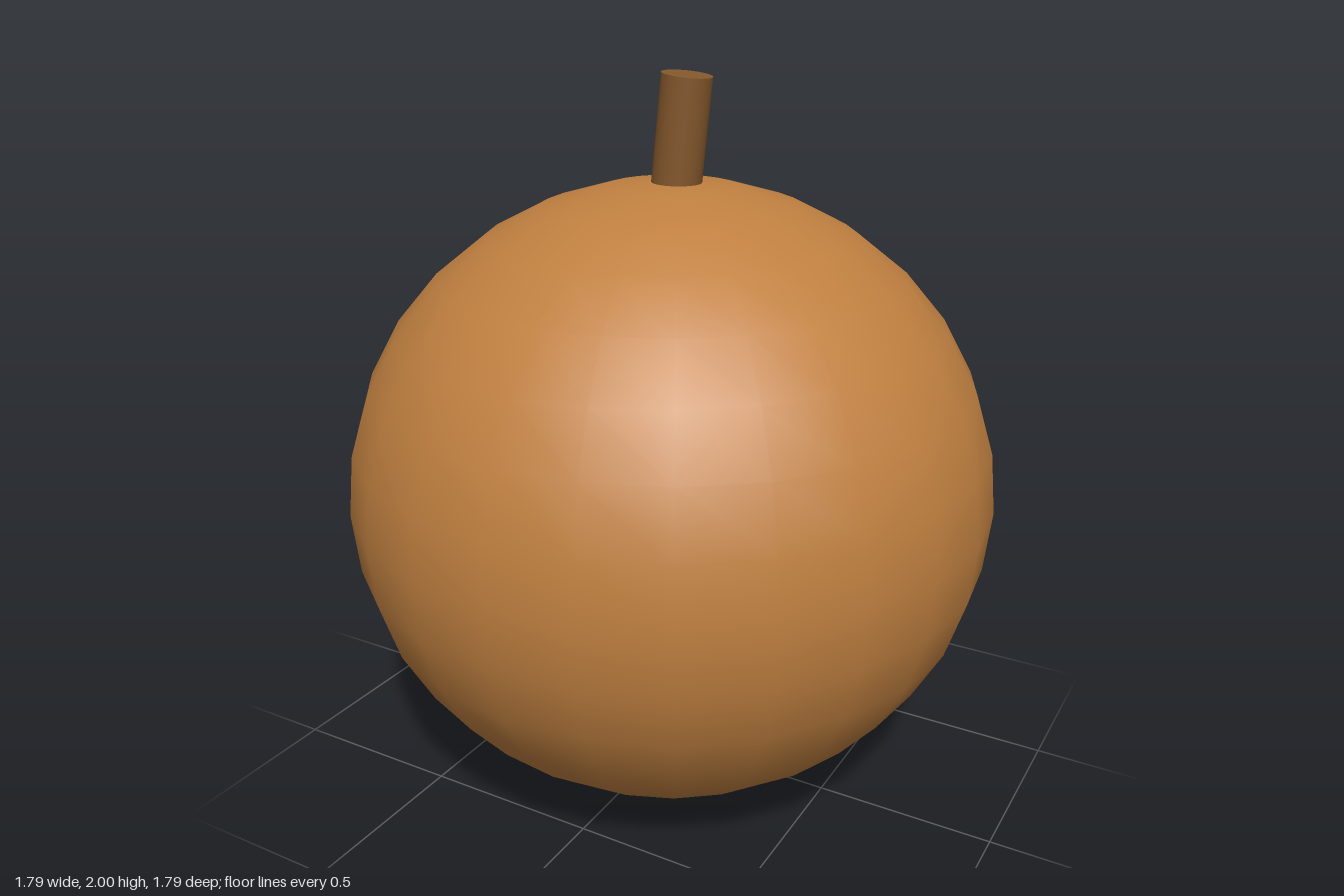
import * as THREE from 'three';

export function createModel() {
  const group = new THREE.Group();
  const skin = new THREE.MeshStandardMaterial({ name: 'skin brown', color: 0xc08040 });
  const bark = new THREE.MeshStandardMaterial({ name: 'stem brown', color: 0x85582c });

  const add = (name, geometry, material, x, y) => {
    const mesh = new THREE.Mesh(geometry, material);
    mesh.name = name;
    mesh.position.set(x, y, 0);
    group.add(mesh);
    return mesh;
  };

  // Slightly squashed round body
  const body = new THREE.SphereGeometry(0.897, 24, 16);
  body.scale(1, 0.862 / 0.897, 1);
  add('body', body, skin, 0, 0.862);

  // Leaning stem, sunk into the top
  const stem = add('stem', new THREE.CylinderGeometry(0.067, 0.067, 0.36, 24), bark, 0.025, 1.814);
  stem.rotation.z = -0.11;

  // Thin disc underneath, with the tip of the body showing through its middle
  add('base', new THREE.CylinderGeometry(0.18, 0.18, 0.03, 24), bark, 0, 0.0275);

  return group;
}
